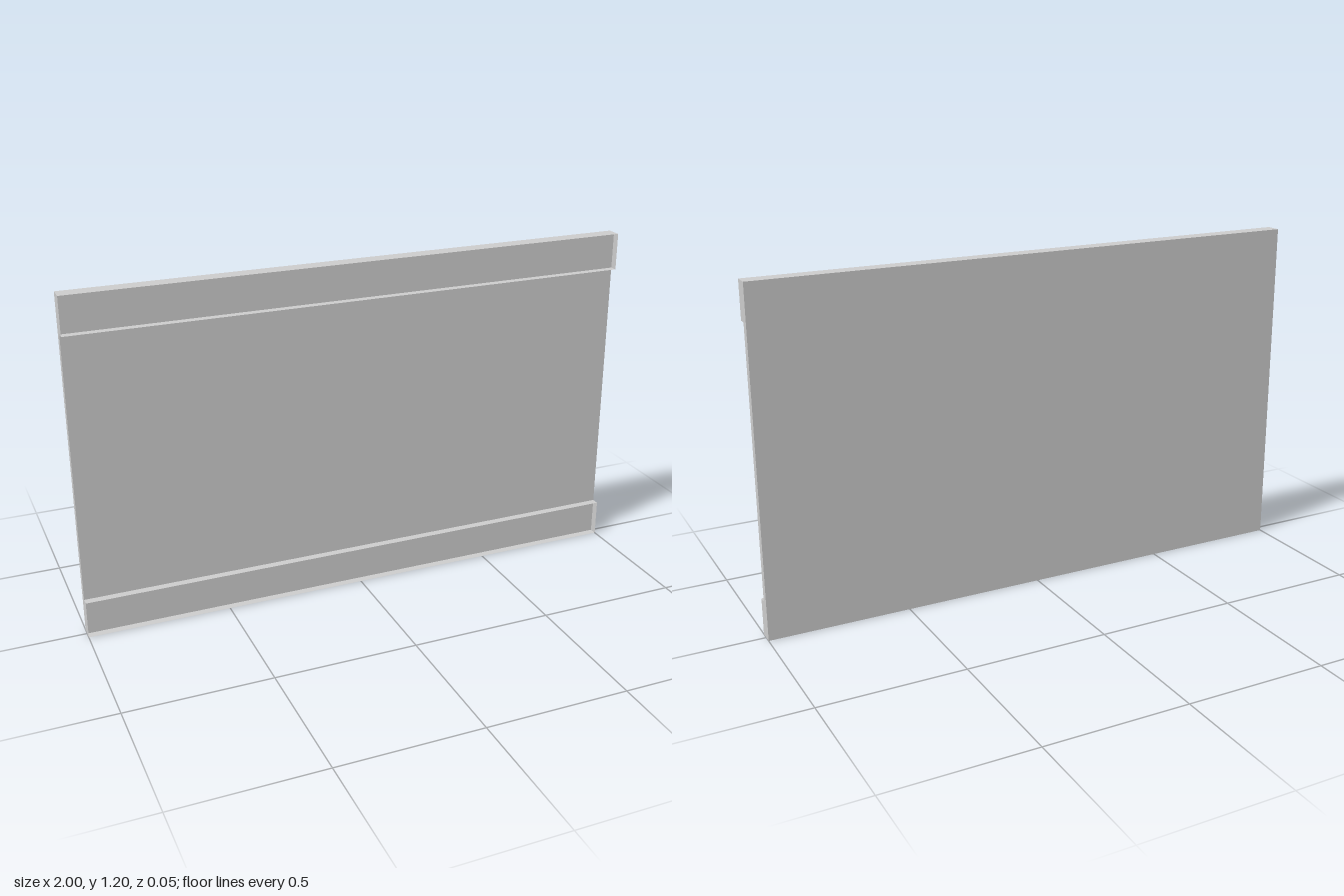
import * as THREE from 'three';

const WIDTH = 2, HEIGHT = 1.2, DEPTH = 0.027, RAIL = 0.131;

export function createModel() {
  const group = new THREE.Group();
  const solid = new THREE.MeshStandardMaterial({ color: 0xcccccc });
  const thin = new THREE.MeshStandardMaterial({ color: 0xcccccc, side: THREE.DoubleSide });

  // Flat back panel
  const panel = new THREE.Mesh(new THREE.BoxGeometry(WIDTH, HEIGHT, DEPTH), solid);
  panel.name = 'backPanel';
  panel.position.set(0, HEIGHT / 2, -DEPTH / 2);
  group.add(panel);

  // Shallow trays along the top and bottom: only the four side walls, open to the front
  const walls = new THREE.BoxGeometry(WIDTH, RAIL, DEPTH);
  walls.setIndex(Array.from(walls.index.array).slice(0, 24));
  walls.clearGroups();
  for (const [name, y] of [['topRail', HEIGHT - RAIL / 2], ['bottomRail', RAIL / 2]]) {
    const rail = new THREE.Mesh(walls, thin);
    rail.name = name;
    rail.position.set(0, y, DEPTH / 2);
    group.add(rail);
  }
  return group;
}
